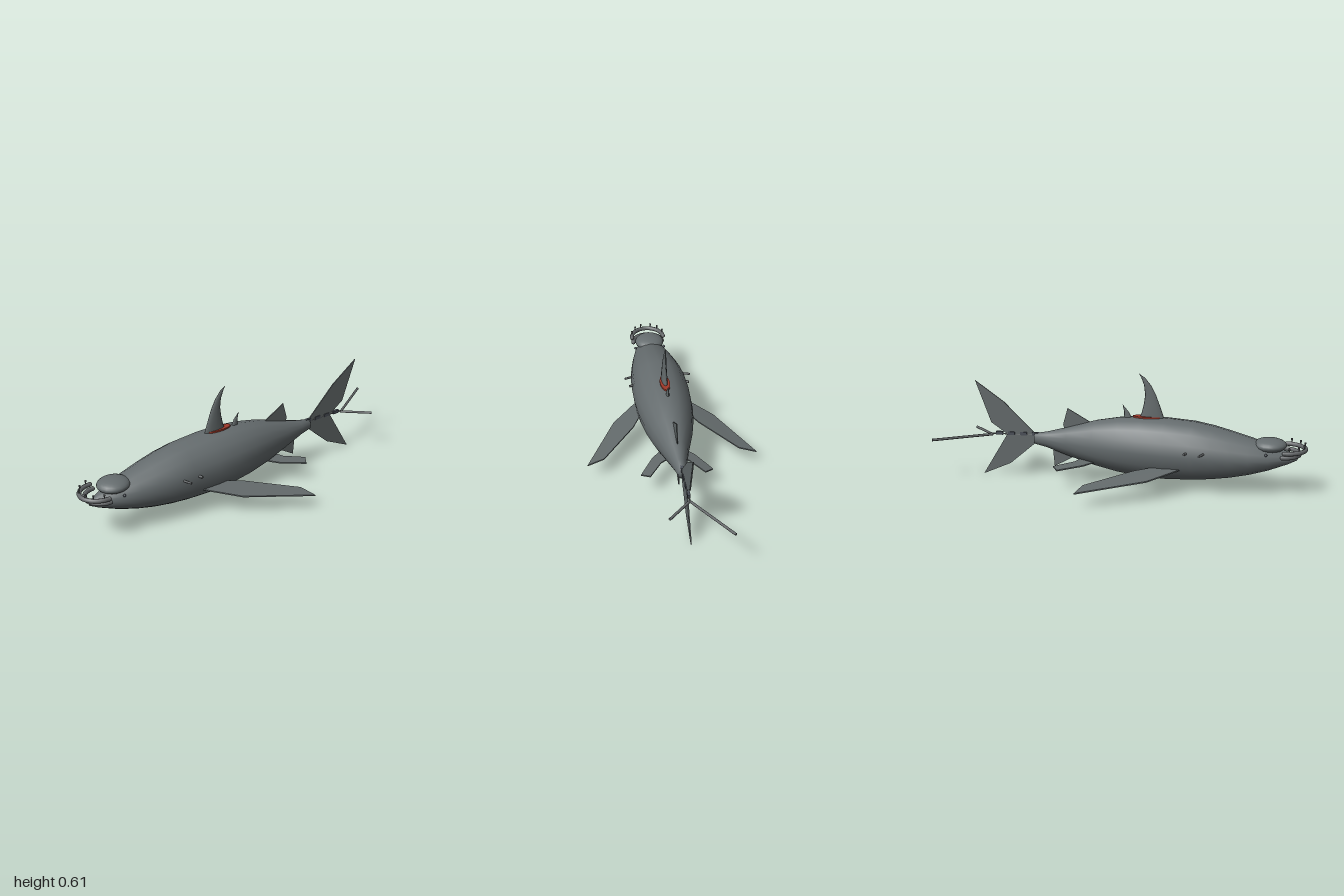
import * as THREE from 'three';

const mat = (name, color) => {
  const m = new THREE.MeshStandardMaterial({ color });
  m.name = name;
  return m;
};

// Closed rings of points skinned into one smooth surface
function loft(rings) {
  const n = rings[0].length, idx = [];
  for (let i = 0; i < rings.length - 1; i++) {
    for (let j = 0; j < n; j++) {
      const k = (j + 1) % n, a = i * n + j, b = i * n + k, c = a + n, d = b + n;
      idx.push(a, c, b, b, c, d);
    }
  }
  const g = new THREE.BufferGeometry();
  g.setAttribute('position', new THREE.Float32BufferAttribute(rings.flat(2), 3));
  g.setIndex(idx);
  g.computeVertexNormals();
  return g;
}

const ring = (n, f) => Array.from({ length: n }, (_, j) => f((j / n) * Math.PI * 2));
const plate = (pts, depth) => new THREE.ExtrudeGeometry(
  new THREE.Shape(pts.map(p => new THREE.Vector2(p[0], p[1]))), { depth, bevelEnabled: false });

// Upright fin from [z, y] points
function uprightFin(pts, t = 0.006) {
  return plate(pts, t).rotateY(-Math.PI / 2).translate(t / 2, 0, 0);
}

// Side fin from [x, z] points, drooping by the height rule
function sideFin(pts, side, height, t = 0.007) {
  const g = plate(pts.map(([x, z]) => [x * side, z]), t).rotateX(Math.PI / 2);
  const p = g.attributes.position;
  for (let i = 0; i < p.count; i++) p.setY(i, p.getY(i) + t / 2 + height(Math.abs(p.getX(i))));
  g.computeVertexNormals();
  return g;
}

// Straight rod between two points
function rod(a, b, r, sides = 8) {
  const A = new THREE.Vector3(...a), B = new THREE.Vector3(...b);
  const g = new THREE.CylinderGeometry(r, r, A.distanceTo(B), sides);
  g.applyQuaternion(new THREE.Quaternion().setFromUnitVectors(
    new THREE.Vector3(0, 1, 0), B.clone().sub(A).normalize()));
  const m = A.add(B).multiplyScalar(0.5);
  return g.translate(m.x, m.y, m.z);
}

export function createModel() {
  const root = new THREE.Group();
  root.name = 'shark';
  const skin = mat('greySkin', 0x666d6f);
  const finMat = mat('finGrey', 0x636a6b);
  const metal = mat('rodGrey', 0x65686a);
  const dark = mat('darkGrey', 0x4a4f58);
  const red = mat('woundRed', 0xa03a2a);
  const add = (name, geo, m) => {
    const mesh = new THREE.Mesh(geo, m);
    mesh.name = name;
    root.add(mesh);
    return mesh;
  };

  // Body sections: z, half width, bottom, top
  const sections = [
    [0.95, 0, 0.2, 0.2], [0.945, 0.006, 0.19, 0.209], [0.9, 0.036, 0.168, 0.232],
    [0.8, 0.085, 0.13, 0.268], [0.7, 0.112, 0.1, 0.297], [0.6, 0.132, 0.078, 0.325],
    [0.5, 0.147, 0.063, 0.35], [0.4, 0.154, 0.053, 0.368], [0.25, 0.157, 0.047, 0.378],
    [0.12, 0.15, 0.054, 0.378], [0, 0.134, 0.068, 0.368], [-0.13, 0.107, 0.095, 0.343],
    [-0.28, 0.064, 0.136, 0.297], [-0.4, 0.035, 0.175, 0.263], [-0.47, 0.022, 0.19, 0.25],
    [-0.475, 0, 0.22, 0.22],
  ];
  add('body', loft(sections.map(([z, w, lo, hi]) => ring(16, a =>
    [w * Math.cos(a), (lo + hi) / 2 + (hi - lo) / 2 * Math.sin(a), z]))), skin);

  // Forehead
  const head = add('forehead', new THREE.SphereGeometry(1, 20, 14), skin);
  head.scale.set(0.082, 0.036, 0.088);
  head.position.set(0, 0.266, 0.802);

  // Protruding jaws
  const arc = (rx, rz, y, z) => new THREE.CatmullRomCurve3(Array.from({ length: 13 }, (_, i) => {
    const a = (i / 12) * Math.PI;
    return new THREE.Vector3(rx * Math.cos(a), y, z + rz * Math.sin(a));
  }));
  const upper = arc(0.093, 0.105, 0.25, 0.883);
  const lower = arc(0.086, 0.085, 0.225, 0.873);
  add('upperJaw', new THREE.TubeGeometry(upper, 28, 0.012, 8), metal);
  add('lowerJaw', new THREE.TubeGeometry(lower, 28, 0.012, 8), metal);
  for (const curve of [upper, lower]) {
    for (const t of [0, 1]) {
      const cap = add('jawEnd', new THREE.SphereGeometry(0.012, 8, 6), metal);
      cap.position.copy(curve.getPoint(t));
    }
  }
  for (const t of [0.08, 0.25, 0.4, 0.6, 0.75, 0.92]) {
    const tooth = add('tooth', new THREE.CylinderGeometry(0.006, 0.002, 0.022, 6), metal);
    tooth.position.copy(upper.getPoint(t));
    tooth.position.y += 0.02;
  }

  // Main dorsal fin: y, front z, back z, half thickness
  const dorsal = [
    [0.36, 0.245, 0.105, 0.017], [0.4, 0.233, 0.12, 0.016], [0.45, 0.215, 0.132, 0.013],
    [0.5, 0.196, 0.138, 0.01], [0.55, 0.17, 0.132, 0.007], [0.59, 0.138, 0.117, 0.004],
    [0.613, 0.103, 0.103, 0],
  ];
  add('dorsalFin', loft(dorsal.map(([y, f, b, w]) => ring(12, a =>
    [w * Math.cos(a), y, (f + b) / 2 + (f - b) / 2 * Math.sin(a)]))), finMat);
  const spine = [[0.365, 0.068, 0.024, 0.009], [0.4, 0.05, 0.025, 0.006], [0.44, 0.016, 0.016, 0]];
  add('dorsalSpine', loft(spine.map(([y, f, b, w]) => ring(8, a =>
    [w * Math.cos(a), y, (f + b) / 2 + (f - b) / 2 * Math.sin(a)]))), finMat);

  // Red patch around the dorsal root
  const patch = add('dorsalPatch', new THREE.CylinderGeometry(1, 1, 0.008, 14), red);
  patch.scale.set(0.027, 1, 0.077);
  patch.position.set(0, 0.378, 0.15);

  // Rear upright fins
  add('rearDorsalFin', uprightFin([[-0.15, 0.325], [-0.285, 0.4], [-0.31, 0.31], [-0.3, 0.27]]), finMat);
  add('analFin', uprightFin([[-0.22, 0.15], [-0.36, 0.07], [-0.368, 0.16], [-0.34, 0.18]]), finMat);
  add('tailFin', uprightFin([[-0.46, 0.24], [-0.64, 0.415], [-0.8, 0.527], [-0.715, 0.297],
    [-0.625, 0.235], [-0.765, 0.0], [-0.61, 0.07], [-0.46, 0.2]]), finMat);

  for (const s of [1, -1]) {
    // Pectoral and pelvic fins
    add(s > 0 ? 'leftPectoralFin' : 'rightPectoralFin', sideFin(
      [[0.11, 0.37], [0.16, 0.325], [0.28, 0.2], [0.455, -0.14], [0.365, -0.115], [0.18, 0.115], [0.12, 0.23]],
      s, x => (x < 0.3 ? 0.138 - (x - 0.14) * 0.19 : 0.108 - (x - 0.3) * 0.17)), finMat);
    add(s > 0 ? 'leftPelvicFin' : 'rightPelvicFin', sideFin(
      [[0.06, -0.12], [0.115, -0.175], [0.19, -0.3], [0.145, -0.33], [0.075, -0.23], [0.04, -0.21]],
      s, x => 0.135 - x * 0.145), finMat);
    // Side pegs and eyes
    add('frontPeg', rod([s * 0.13, 0.234, 0.475], [s * 0.186, 0.234, 0.455], 0.006), metal);
    add('rearPeg', rod([s * 0.14, 0.234, 0.383], [s * 0.168, 0.234, 0.374], 0.007), metal);
    const eye = add('eye', new THREE.SphereGeometry(0.008, 8, 6), dark);
    eye.position.set(s * 0.084, 0.233, 0.79);
  }

  // Segmented line along the tail
  add('tailLine', rod([0, 0.24, -0.44], [0, 0.234, -0.71], 0.004, 6), metal);
  for (let i = 0; i < 4; i++) {
    const link = add('tailLink', new THREE.BoxGeometry(0.015, 0.018, 0.038), dark);
    link.position.set(0, 0.245 - i * 0.002, -0.465 - i * 0.068);
  }

  // Forked trailing rods
  add('longRod', rod([0, 0.228, -0.71], [-0.175, 0.228, -0.995], 0.007), metal);
  add('shortRod', rod([0, 0.228, -0.71], [0.118, 0.228, -0.838], 0.007), metal);
  return root;
}
